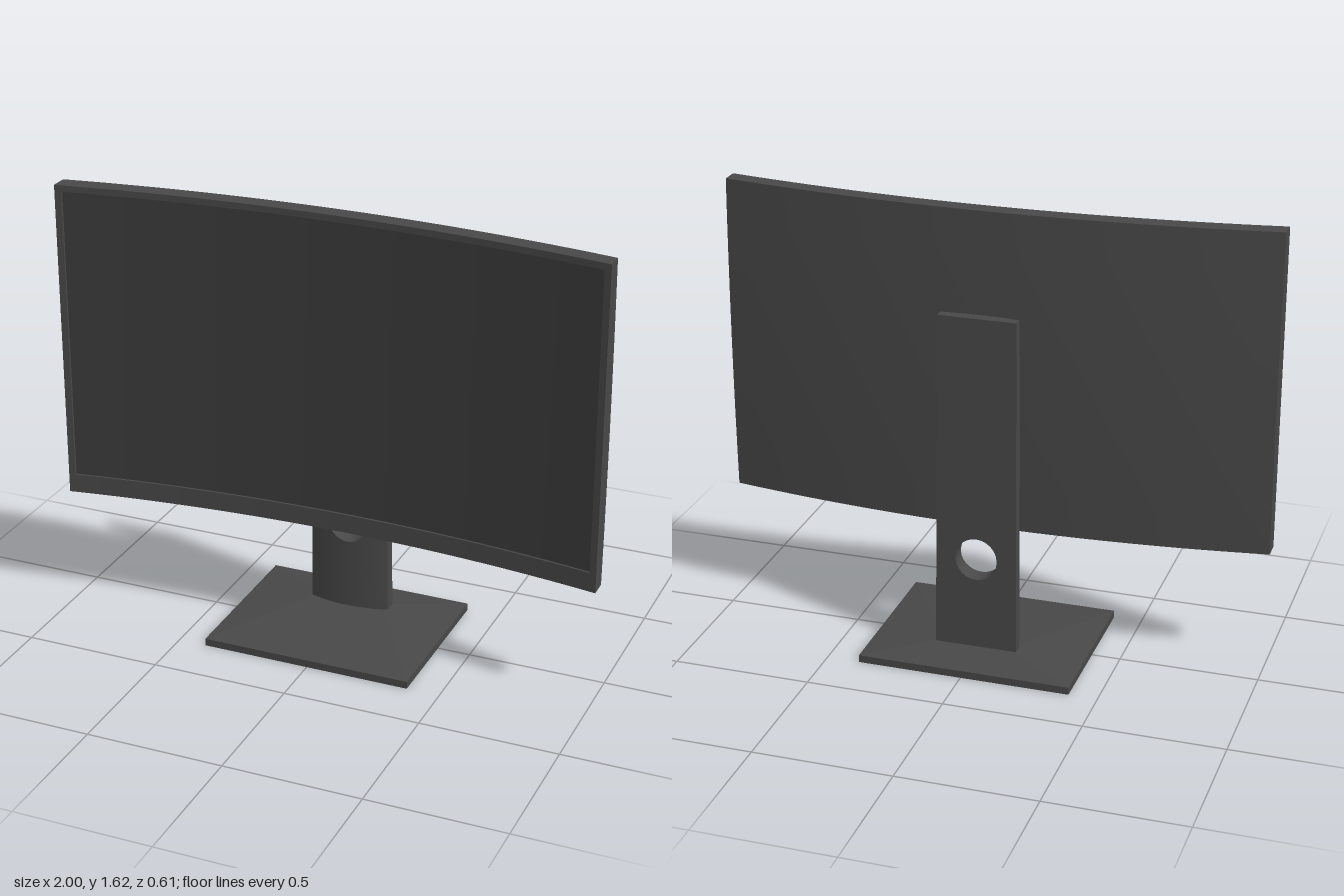
import * as THREE from 'three';
import { toCreasedNormals } from 'three/addons/utils/BufferGeometryUtils.js';
import { ParametricGeometry } from 'three/addons/geometries/ParametricGeometry.js';

const bodyMat = new THREE.MeshStandardMaterial({ color: 0x484848 });
const screenMat = new THREE.MeshStandardMaterial({ color: 0x3c3c3c });
const lerp = THREE.MathUtils.lerp;
const STAND_X = -0.008;

function part(name, geometry, material = bodyMat) {
  const mesh = new THREE.Mesh(toCreasedNormals(geometry, 0.5), material);
  mesh.name = name;
  return mesh;
}

// Move every vertex of a geometry by a rule that edits the vector in place.
function reshape(geometry, rule) {
  const pos = geometry.attributes.position;
  const p = new THREE.Vector3();
  for (let i = 0; i < pos.count; i++) {
    rule(p.fromBufferAttribute(pos, i));
    pos.setXYZ(i, p.x, p.y, p.z);
  }
  return geometry;
}

function boxBetween(x0, x1, y0, y1, z0, z1, segX = 1, segY = 1) {
  return new THREE.BoxGeometry(x1 - x0, y1 - y0, z1 - z0, segX, segY, 1)
    .translate((x0 + x1) / 2, (y0 + y1) / 2, (z0 + z1) / 2);
}

// Curved display panel
const bend = (p) => { p.z += 0.085 * p.x * p.x; };

function createDisplay() {
  const display = new THREE.Group();
  display.name = 'display';
  const [bottom, top, screenBottom, screenTop, side] = [0.44, 1.615, 0.51, 1.592, 0.976];
  const [back, recess, front] = [0.01, 0.073, 0.085];
  const middle = (bottom + top) / 2;

  const shell = boxBetween(-1, 1, bottom, top, back, recess, 24, 8);
  reshape(shell, (p) => {
    // the back bulges slightly at mid height
    if (p.z < 0.03) p.z += 0.01 * ((p.y - middle) / (top - middle)) ** 2;
    bend(p);
  });
  display.add(part('backShell', shell));

  const bars = {
    topBezel: [-1, 1, screenTop, top],
    bottomBezel: [-1, 1, bottom, screenBottom],
    leftBezel: [side, 1, screenBottom, screenTop],
    rightBezel: [-1, -side, screenBottom, screenTop],
  };
  for (const [name, b] of Object.entries(bars)) {
    const seg = b[1] - b[0] > 1 ? 24 : 1;
    display.add(part(name, reshape(boxBetween(...b, recess, front, seg), bend)));
  }
  const screen = boxBetween(-side, side, screenBottom, screenTop, recess, recess + 0.004, 24);
  display.add(part('screen', reshape(screen, bend), screenMat));
  return display;
}

// Stand column: bulging front, flat back, both leaning slightly
const HALF = 0.15, SHOULDER = 1.12, COLUMN_TOP = 1.285;
const frontZ = (x, y) => lerp(-0.085, -0.075, y / SHOULDER) - 0.024 * (x / HALF) ** 2;
const backZ = (y) => lerp(-0.155, -0.137, y / COLUMN_TOP);
const taper = (y) => 1 - 0.05 * y;

// Outline of the lower column, clockwise from the front
function columnOutline(y0, y1) {
  const corners = [[-HALF, y0], [-HALF, y1], [HALF, y1], [HALF, y0]];
  const points = [];
  corners.forEach((a, i) => {
    const b = corners[(i + 1) % 4];
    const n = i % 2 ? 12 : 24;
    for (let k = 0; k < n; k++) {
      points.push(new THREE.Vector2(lerp(a[0], b[0], k / n), lerp(a[1], b[1], k / n)));
    }
  });
  return points;
}

function createColumn() {
  const column = new THREE.Group();
  column.name = 'column';

  // Lower column: rings spread from the round cable hole to the outline, front then back
  const outline = columnOutline(0.03, SHOULDER);
  const hole = new THREE.Vector2(0, 0.39);
  const radius = 0.078, steps = 6;
  const lower = new ParametricGeometry((u, v, target) => {
    const outer = outline[Math.round(u * outline.length) % outline.length];
    const inner = outer.clone().sub(hole).setLength(radius).add(hole);
    const ring = Math.round(v * (2 * steps + 2)) % (2 * steps + 2);
    const isFront = ring <= steps;
    const t = (isFront ? ring : 2 * steps + 1 - ring) / steps;
    const p = inner.lerp(outer, t);
    target.set(p.x * taper(p.y), p.y, isFront ? frontZ(p.x, p.y) : backZ(p.y));
  }, outline.length, 2 * steps + 2);
  column.add(part('lowerColumn', lower));

  // Upper end, whose front slopes back
  const upper = boxBetween(-HALF, HALF, SHOULDER, COLUMN_TOP, -1, 1, 12);
  reshape(upper, (p) => {
    const topFront = -0.096 - 0.008 * (p.x / HALF) ** 2;
    const z = p.y > SHOULDER + 0.01 ? topFront : frontZ(p.x, p.y);
    p.set(p.x * taper(p.y), p.y, p.z > 0 ? z : backZ(p.y));
  });
  column.add(part('upperColumn', upper));
  return column;
}

// Base plate with a shallow pyramid top rising to the foot of the column
function createBase() {
  const [w, d, rim, peak] = [0.388, 0.306, 0.027, 0.05];
  const base = new THREE.Group();
  base.name = 'base';
  base.add(part('basePlate', boxBetween(-w, w, 0, rim, -d, d)));
  const slope = reshape(boxBetween(-w, w, rim, peak, -d, d), (p) => {
    if (p.y > rim + 0.01) p.set(Math.sign(p.x) * 0.155, peak, p.z > 0 ? -0.08 : -0.157);
  });
  const slopeMesh = new THREE.Mesh(slope.toNonIndexed(), bodyMat.clone());
  slopeMesh.geometry.computeVertexNormals();
  slopeMesh.material.flatShading = true;
  slopeMesh.name = 'baseSlope';
  base.add(slopeMesh);
  return base;
}

export function createModel() {
  const model = new THREE.Group();
  model.name = 'monitor';
  model.add(createDisplay());

  const stand = new THREE.Group();
  stand.name = 'stand';
  stand.position.x = STAND_X;
  stand.add(createColumn(), createBase());

  // Arm joining the column to the display, narrowing toward the column
  const arm = boxBetween(-0.076, 0.076, 1.038, 1.115, -0.1, 0.02);
  reshape(arm, (p) => {
    if (p.z < 0) p.set(p.x * 0.96, 1.077 + (p.y - 1.077) * 0.88, p.z);
  });
  stand.add(part('arm', arm));
  model.add(stand);
  return model;
}
